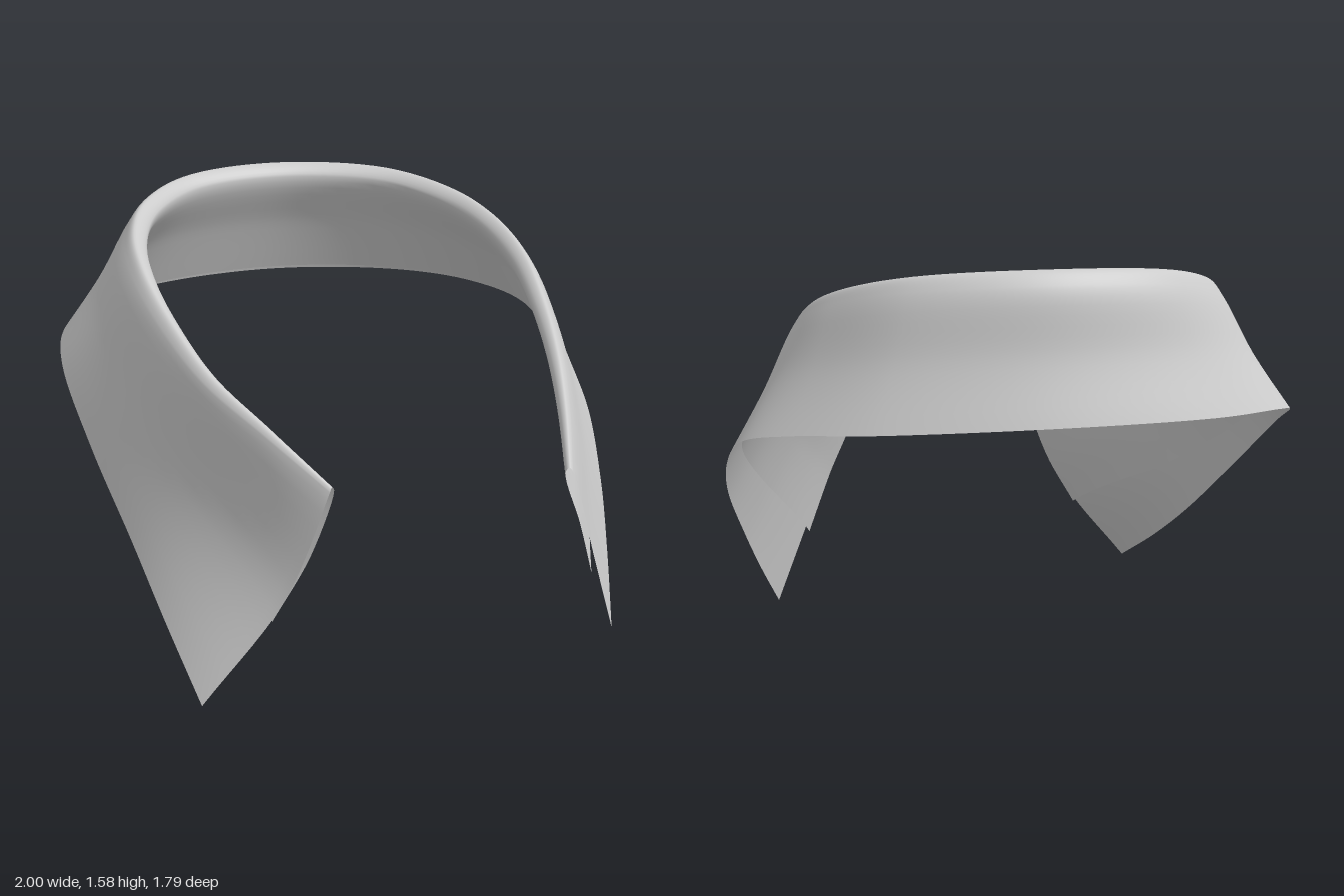
import * as THREE from 'three';

// Stations from the right tip, round the back of the neck, to the left tip:
// crease x, y, z, then outer edge x, y, z
const STATIONS = [
  [-0.33, 0.75, 0.88, -0.74, 0.035, 0.80],
  [-0.48, 0.90, 0.69, -0.80, 0.22, 0.53],
  [-0.61, 1.03, 0.48, -0.86, 0.42, 0.28],
  [-0.69, 1.17, 0.25, -0.945, 0.68, 0.02],
  [-0.735, 1.31, 0.01, -1.0, 0.92, -0.24],
  [-0.72, 1.41, -0.22, -0.97, 1.01, -0.42],
  [-0.63, 1.49, -0.44, -0.85, 1.06, -0.60],
  [-0.41, 1.555, -0.65, -0.55, 1.095, -0.80],
  [0, 1.58, -0.75, 0, 1.115, -0.90],
  [0.40, 1.555, -0.65, 0.54, 1.095, -0.80],
  [0.60, 1.49, -0.44, 0.80, 1.06, -0.62],
  [0.685, 1.41, -0.22, 0.94, 1.0, -0.43],
  [0.71, 1.30, 0.02, 0.995, 0.86, -0.18],
  [0.69, 1.16, 0.24, 1.0, 0.68, 0.05],
  [0.645, 1.02, 0.45, 0.95, 0.44, 0.28],
  [0.575, 0.88, 0.66, 0.89, 0.22, 0.46],
  [0.48, 0.73, 0.89, 0.82, 0, 0.64],
];
const ROWS = 128, STEP = 7, COLS = 6 * STEP;

const curveFrom = (k) => new THREE.CatmullRomCurve3(
  STATIONS.map((s) => new THREE.Vector3(s[k], s[k + 1], s[k + 2])));
const mix = (a, b, t) => new THREE.Vector3().lerpVectors(a, b, t);

// Cross-section from the inner edge, over the rolled crease, to the outer edge
function section(crease, outer, u) {
  const c = crease.getPoint(u), o = outer.getPoint(u);
  const t = crease.getTangent(u);
  const n = new THREE.Vector3(t.z, 0, -t.x).normalize(); // away from the neck
  const front = Math.abs(2 * u - 1);                     // 0 at back, 1 at tips
  const r = THREE.MathUtils.lerp(0.05, 0.012, front * front);
  const reach = THREE.MathUtils.lerp(0.97, 0.63, THREE.MathUtils.smoothstep(front, 0.25, 1));
  const bow = new THREE.Vector3(0.07 * (1 - THREE.MathUtils.smoothstep(u, 0, 0.2)), 0, 0);

  const side = (s) => c.clone().addScaledVector(n, s * r).setY(c.y - r * 1.1);
  const inTop = side(-1), outTop = side(1);
  const inEdge = mix(c, o, reach).addScaledVector(n, -0.02).addScaledVector(bow, 0.9);
  const inMid = mix(inTop, inEdge, 0.5).addScaledVector(n, 0.004).addScaledVector(bow, 0.4);
  const outMid = mix(outTop, o, 0.5).addScaledVector(n, -0.015 * (1 - front)).add(bow);
  return new THREE.CatmullRomCurve3([inEdge, inMid, inTop, c, outTop, outMid, o]);
}

// Whole sheet as one grid, so the normals flow across the crease
function sheetGeometry() {
  const crease = curveFrom(0), outer = curveFrom(3);
  const pos = [];
  for (let i = 0; i <= ROWS; i++) {
    const s = section(crease, outer, i / ROWS);
    for (let j = 0; j <= COLS; j++) pos.push(...s.getPoint(j / COLS).toArray());
  }
  const g = new THREE.BufferGeometry();
  g.setAttribute('position', new THREE.Float32BufferAttribute(pos, 3));
  g.setIndex(columns(0, COLS));
  g.computeVertexNormals();
  return g;
}

// Triangles of a range of columns of the grid
function columns(from, to) {
  const index = [], w = COLS + 1;
  for (let i = 0; i < ROWS; i++) {
    for (let j = from; j < to; j++) {
      const a = i * w + j, b = a + w;
      index.push(a, b, a + 1, a + 1, b, b + 1);
    }
  }
  return index;
}

export function createModel() {
  const group = new THREE.Group();
  group.name = 'shirtCollar';
  const material = new THREE.MeshStandardMaterial({ color: 0xcccccc, side: THREE.DoubleSide });
  const sheet = sheetGeometry();
  const parts = [
    ['innerLeaf', 0, 2 * STEP],
    ['rolledCrease', 2 * STEP, 4 * STEP],
    ['outerLeaf', 4 * STEP, COLS],
  ];
  for (const [name, from, to] of parts) {
    const g = sheet.clone();
    g.setIndex(columns(from, to));
    const mesh = new THREE.Mesh(g, material);
    mesh.name = name;
    group.add(mesh);
  }
  return group;
}
